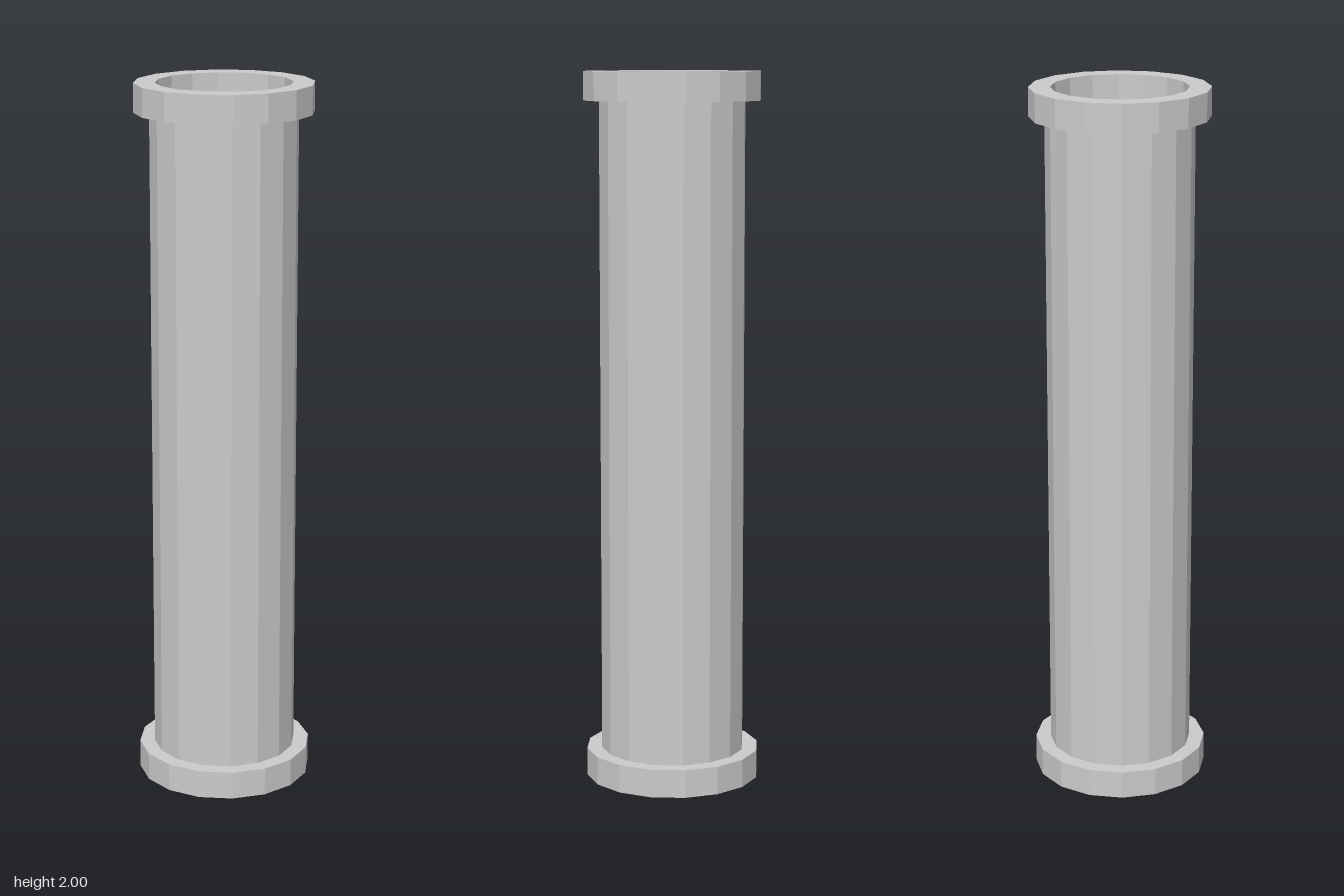
import * as THREE from 'three';

const SIDES = 16;
const HEIGHT = 2;
const COLLAR_HEIGHT = 0.08;
const COLLAR_RADIUS = 0.247;
const SHAFT_RADIUS = 0.204;
const BORE_RADIUS = 0.188;

export function createModel() {
  const group = new THREE.Group();
  group.name = 'flangedPipe';
  const material = new THREE.MeshStandardMaterial({ color: 0xcccccc, flatShading: true });

  // Revolves a profile of [radius, height] pairs into a faceted part
  const addLathe = (name, profile) => {
    const points = profile.map(([r, y]) => new THREE.Vector2(r, y));
    const mesh = new THREE.Mesh(new THREE.LatheGeometry(points, SIDES), material);
    mesh.name = name;
    group.add(mesh);
    return mesh;
  };

  // Outer wall between the collars
  addLathe('shaft', [[SHAFT_RADIUS, COLLAR_HEIGHT], [SHAFT_RADIUS, HEIGHT - COLLAR_HEIGHT]]);

  // Inner wall, facing the axis
  addLathe('bore', [[BORE_RADIUS, HEIGHT], [BORE_RADIUS, 0]]);

  // Wider ring at each end
  for (const [name, y] of [['bottomCollar', 0], ['topCollar', HEIGHT - COLLAR_HEIGHT]]) {
    addLathe(name, [
      [BORE_RADIUS, 0],
      [COLLAR_RADIUS, 0],
      [COLLAR_RADIUS, COLLAR_HEIGHT],
      [BORE_RADIUS, COLLAR_HEIGHT],
    ]).position.y = y;
  }

  // Wall closing the bore deep inside
  const dividerMaterial = material.clone();
  dividerMaterial.side = THREE.DoubleSide;
  const divider = new THREE.Mesh(new THREE.CircleGeometry(BORE_RADIUS, SIDES), dividerMaterial);
  divider.name = 'innerDivider';
  divider.rotation.x = -Math.PI / 2;
  divider.position.y = HEIGHT / 2;
  group.add(divider);

  return group;
}
